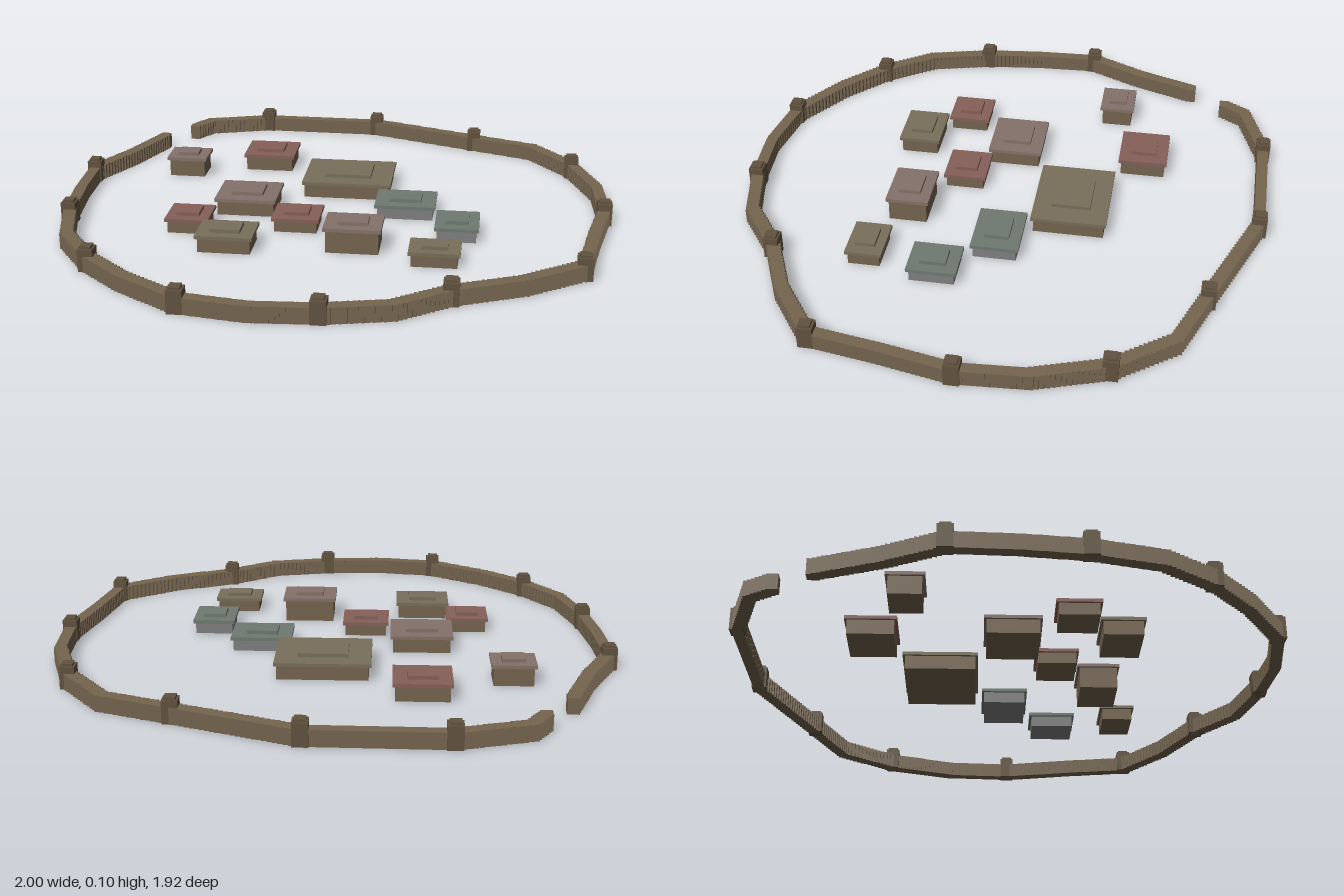
import * as THREE from 'three';
import { mergeGeometries } from 'three/addons/utils/BufferGeometryUtils.js';

const mat = (color) => new THREE.MeshStandardMaterial({ color });
const EARTH = mat(0x75654f), TOWER = mat(0x62533f), STONE = mat(0x808080);
const RED = mat(0x87605a), BROWN = mat(0x85726a), OLIVE = mat(0x79705a), TEAL = mat(0x6f7a71);

// Box standing on height y0
function boxGeo(w, h, d, x, y0, z) {
  return new THREE.BoxGeometry(w, h, d).translate(x, y0 + h / 2, z);
}
function addMesh(parent, name, geo, material) {
  const mesh = new THREE.Mesh(geo, material);
  mesh.name = name;
  parent.add(mesh);
}

// Wall corners [x, z, hasTower], from one side of the gate round to the other
const PATH = [
  [-0.70, -0.78], [-0.65, -0.86], [-0.41, -0.935, 1], [0.06, -0.93, 1], [0.48, -0.77, 1],
  [0.72, -0.68], [0.87, -0.485, 1], [0.955, -0.235], [0.97, 0, 1], [0.92, 0.25],
  [0.88, 0.495, 1], [0.68, 0.64], [0.455, 0.74, 1], [0.28, 0.87], [0.06, 0.92, 1],
  [-0.16, 0.935], [-0.39, 0.9, 1], [-0.60, 0.765], [-0.755, 0.625, 1], [-0.88, 0.45],
  [-0.94, 0.22, 1], [-0.965, 0], [-0.975, -0.225, 1], [-0.88, -0.42], [-0.80, -0.64],
];

// Houses: [x, z, roof width, roof depth, total height, roof material]
const HOUSES = [
  [0.02, -0.26, 0.335, 0.27, 0.075, OLIVE],
  [-0.32, -0.49, 0.20, 0.18, 0.078, RED],
  [-0.63, -0.36, 0.155, 0.13, 0.09, BROWN],
  [-0.325, -0.005, 0.225, 0.2, 0.077, BROWN],
  [0.255, -0.025, 0.22, 0.17, 0.066, TEAL],
  [0.45, 0.165, 0.155, 0.175, 0.066, TEAL],
  [-0.5, 0.21, 0.155, 0.155, 0.068, RED],
  [-0.12, 0.155, 0.17, 0.155, 0.066, RED],
  [0.1, 0.32, 0.2, 0.155, 0.105, BROWN],
  [-0.335, 0.37, 0.2, 0.155, 0.076, OLIVE],
  [0.385, 0.415, 0.175, 0.13, 0.068, OLIVE],
];

export function createModel() {
  const model = new THREE.Group();
  model.name = 'walledVillage';

  // Palisade: upright square posts packed along the path
  const posts = [];
  for (let i = 0; i < PATH.length - 1; i++) {
    const [ax, az] = PATH[i], [bx, bz] = PATH[i + 1];
    const n = Math.ceil(Math.hypot(bx - ax, bz - az) / 0.018);
    for (let k = 0; k <= n; k++) {
      const t = k / n;
      posts.push(boxGeo(0.04, 0.056, 0.04, ax + (bx - ax) * t, 0, az + (bz - az) * t));
    }
  }
  addMesh(model, 'palisade', mergeGeometries(posts), EARTH);

  // Watchtowers with a narrower cap
  for (const [x, z, hasTower] of PATH) {
    if (!hasTower) continue;
    const tower = new THREE.Group();
    tower.name = 'watchtower';
    addMesh(tower, 'towerBody', boxGeo(0.052, 0.08, 0.052, x, 0, z), TOWER);
    addMesh(tower, 'towerCap', boxGeo(0.038, 0.009, 0.038, x, 0.08, z), TOWER);
    model.add(tower);
  }

  // Houses: body, overhanging roof slab and a smaller upper slab
  for (const [x, z, w, d, h, roof] of HOUSES) {
    const house = new THREE.Group();
    house.name = 'house';
    const cap = 0.013, slab = 0.012, eave = 0.018;
    const wall = h - cap - slab;
    addMesh(house, 'houseBody', boxGeo(w - eave, wall, d - eave, x, 0, z), roof === TEAL ? STONE : EARTH);
    addMesh(house, 'roofSlab', boxGeo(w, slab, d, x, wall, z), roof);
    addMesh(house, 'roofCap', boxGeo(w * 0.52, cap, d * 0.52, x, wall + slab, z), roof);
    model.add(house);
  }
  return model;
}
